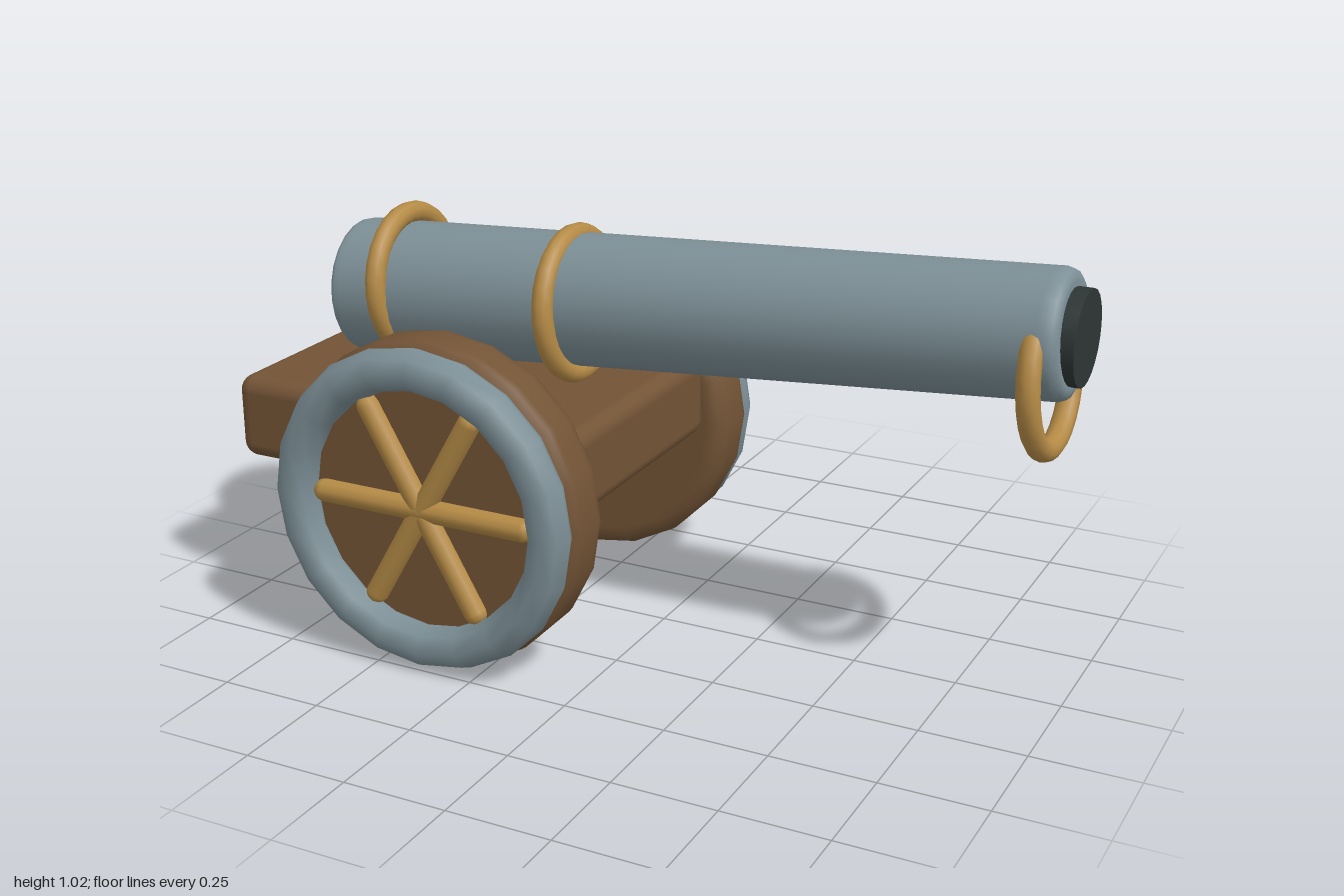
import * as THREE from 'three';
import { RoundedBoxGeometry } from 'three/addons/geometries/RoundedBoxGeometry.js';

const mat = (name, color) => {
  const m = new THREE.MeshStandardMaterial({ color });
  m.name = name;
  return m;
};

export function createModel() {
  const iron = mat('iron', 0x7d9097);
  const wood = mat('wood', 0x735436);
  const brass = mat('brass', 0xb58b46);
  const bore = mat('bore', 0x2d3635);
  const model = new THREE.Group();
  model.name = 'cannon';

  const add = (parent, name, geometry, material, x, y, z) => {
    const mesh = new THREE.Mesh(geometry, material);
    mesh.name = name;
    mesh.position.set(x, y, z);
    parent.add(mesh);
    return mesh;
  };
  const lathe = (points, sides) =>
    new THREE.LatheGeometry(points.map(([r, y]) => new THREE.Vector2(r, y)), sides);

  const tilt = THREE.MathUtils.degToRad(4);

  // Carriage bed
  add(model, 'carriage', new RoundedBoxGeometry(0.95, 0.21, 0.67, 3, 0.04), wood, -0.525, 0.475, 0);

  // Tapered barrel with softened ends, muzzle toward +x
  const barrel = add(model, 'barrel', lathe([
    [0, -0.9], [0.15, -0.9], [0.155, -0.9], [0.163, -0.894], [0.165, -0.885], [0.165, -0.87],
    [0.145, 0.86], [0.145, 0.875], [0.139, 0.892], [0.125, 0.9], [0.115, 0.9], [0, 0.9],
  ], 24), iron, 0.07, 0.811, 0);
  barrel.rotation.z = tilt - Math.PI / 2;

  // Dark muzzle disc
  const muzzle = add(model, 'muzzleBore', new THREE.CylinderGeometry(0.107, 0.107, 0.045, 24), bore, 0.974, 0.87, 0);
  muzzle.rotation.z = -Math.PI / 2;

  // Brass bands, all at one height so the front one hangs below the muzzle
  for (const [name, x] of [['rearBand', -0.69], ['middleBand', -0.23], ['frontBand', 0.923]]) {
    const band = add(model, name, new THREE.TorusGeometry(0.165, 0.026, 10, 28), brass, x, 0.78, 0);
    band.rotation.set(0, Math.PI / 2, tilt, 'ZYX');
  }

  // Wheels: wooden disc, iron rim on the outer side, three crossed spokes
  const discShape = lathe([
    [0, -0.075], [0.34, -0.075], [0.355, -0.075], [0.378, -0.068], [0.392, -0.045], [0.395, -0.025],
    [0.395, 0.03], [0.392, 0.048], [0.378, 0.068], [0.355, 0.075], [0.34, 0.075], [0, 0.075],
  ], 20);
  const rimShape = new THREE.TorusGeometry(0.338, 0.051, 8, 20);
  const spokeShape = new THREE.CapsuleGeometry(0.028, 0.534, 3, 10);
  for (const side of [1, -1]) {
    const wheel = new THREE.Group();
    wheel.name = side > 0 ? 'frontWheel' : 'backWheel';
    wheel.position.set(-0.38, 0.396, 0);
    if (side < 0) wheel.rotation.y = Math.PI;
    model.add(wheel);
    add(wheel, 'wheelDisc', discShape, wood, 0, 0, 0.387).rotation.x = Math.PI / 2;
    add(wheel, 'wheelRim', rimShape, iron, 0, 0, 0.475);
    for (let i = 0; i < 3; i++) {
      add(wheel, 'spoke', spokeShape, brass, 0, 0, 0.468).rotation.z = Math.PI / 2 + i * Math.PI / 3;
    }
  }
  return model;
}
